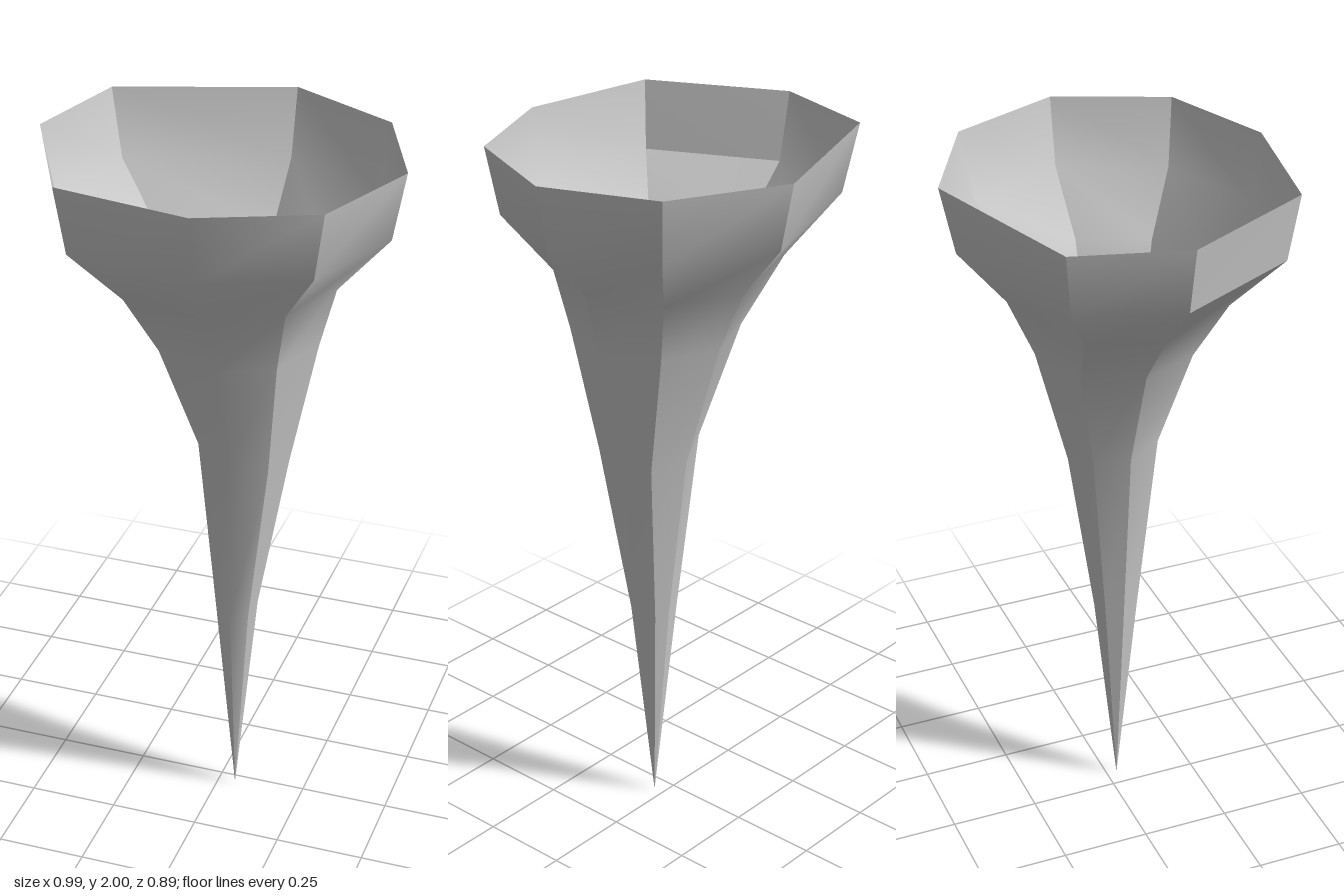
import * as THREE from 'three';

// Heights of the rings, rim first; the knee ring varies slightly per rib
const HEIGHTS = [2, 1.81, 1.65, 1.48, 1.15, 0.62];
const KNEE = 4;
const TIP = [0.05, 0, 0.03];

// Eight ribs, clockwise from above starting at +x: knee height and [x, z] on each ring
const RIBS = [
  { knee: 1.12, xz: [[0.495, 0.015], [0.46, 0.015], [0.32, 0.018], [0.275, 0.02], [0.2, 0.025], [0.11, 0.03]] },
  { knee: 1.13, xz: [[0.37, 0.32], [0.34, 0.3], [0.24, 0.21], [0.21, 0.18], [0.17, 0.12], [0.1, 0.07]] },
  { knee: 1.18, xz: [[0.065, 0.445], [0.065, 0.42], [0.065, 0.295], [0.065, 0.25], [0.07, 0.158], [0.055, 0.095]] },
  { knee: 1.18, xz: [[-0.315, 0.38], [-0.293, 0.358], [-0.185, 0.25], [-0.115, 0.18], [-0.026, 0.12], [0.01, 0.075]] },
  { knee: 1.16, xz: [[-0.497, 0.015], [-0.46, 0.015], [-0.31, 0.018], [-0.18, 0.02], [-0.064, 0.025], [-0.01, 0.028]] },
  { knee: 1.16, xz: [[-0.413, -0.29], [-0.378, -0.265], [-0.245, -0.18], [-0.115, -0.14], [-0.025, -0.07], [0.01, -0.02]] },
  { knee: 1.12, xz: [[0.063, -0.45], [0.06, -0.41], [0.05, -0.28], [0.05, -0.205], [0.07, -0.107], [0.06, -0.035]] },
  { knee: 1.12, xz: [[0.37, -0.29], [0.34, -0.262], [0.24, -0.178], [0.21, -0.142], [0.17, -0.07], [0.1, -0.02]] },
];

function ribPoint(rib, row) {
  if (row === HEIGHTS.length) return TIP;
  const [x, z] = rib.xz[row];
  return [x, row === KNEE ? rib.knee : HEIGHTS[row], z];
}

// Smooth strip of wall spanning some neighbouring ribs and a range of rings
function wallPanel(ribs, firstRow, lastRow) {
  const positions = [], index = [];
  const rows = lastRow - firstRow + 1;
  for (const r of ribs)
    for (let row = firstRow; row <= lastRow; row++) positions.push(...ribPoint(RIBS[r % 8], row));
  for (let c = 0; c < ribs.length - 1; c++)
    for (let i = 0; i < rows - 1; i++) {
      const a = c * rows + i, b = a + rows;
      index.push(a, b, b + 1);
      if (firstRow + i + 1 < HEIGHTS.length) index.push(a, b + 1, a + 1);
    }
  const geometry = new THREE.BufferGeometry();
  geometry.setAttribute('position', new THREE.Float32BufferAttribute(positions, 3));
  geometry.setIndex(index);
  geometry.computeVertexNormals();
  return geometry;
}

export function createModel() {
  const model = new THREE.Group();
  model.name = 'funnelSpike';
  const material = new THREE.MeshStandardMaterial({ color: 0xcccccc, side: THREE.DoubleSide });
  const last = HEIGHTS.length;
  const add = (name, ribs, from = 0, to = last) => {
    const mesh = new THREE.Mesh(wallPanel(ribs, from, to), material);
    mesh.name = name;
    model.add(mesh);
  };

  // The front is one rounded panel; the other ribs are sharp edges
  add('leftFrontWall', [0, 1]);
  add('frontWall', [1, 2, 3]);
  // This side has a crease where the rim band meets the bowl
  add('rightFrontRim', [3, 4], 0, 1);
  add('rightFrontWall', [3, 4], 1);
  add('rightBackWall', [4, 5]);
  add('backRightWall', [5, 6]);
  add('backLeftWall', [6, 7]);
  add('leftBackWall', [7, 8]);
  return model;
}
